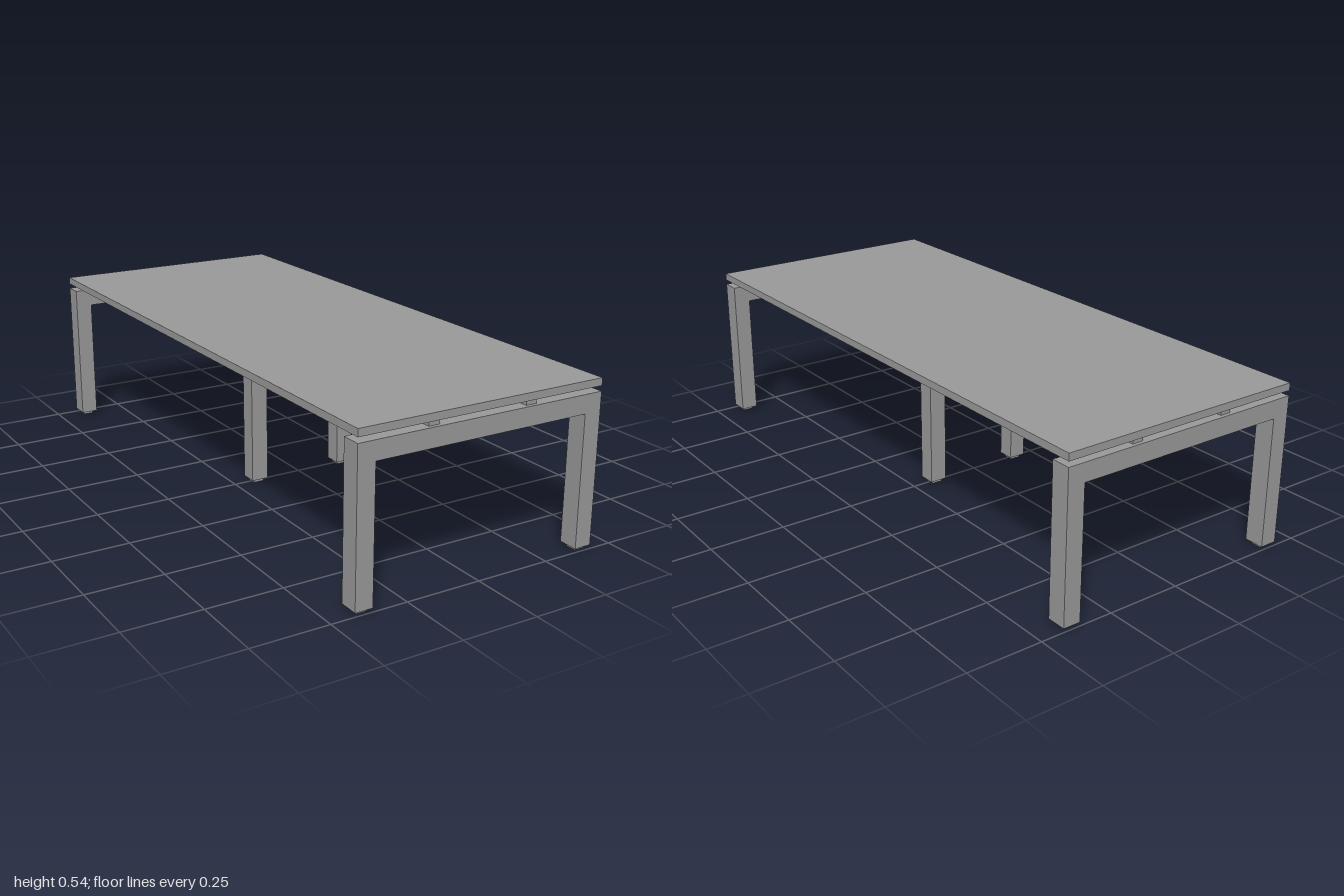
import * as THREE from 'three';

const W = 0.423;      // half width of the table
const L = 1;          // half length
const T = 0.058;      // square tube thickness
const D = 0.065;      // depth of the end frames
const FOOT = 0.012;   // foot height
const BEAM = 0.439;   // underside of the beams
const FRAME = 0.499;  // top of the frame
const PAD = 0.036;    // feet and spacer size

export function createModel() {
  const table = new THREE.Group();
  table.name = 'table';
  const material = new THREE.MeshStandardMaterial({ color: 0x999999, flatShading: true });

  function add(name, geometry, x, y, z) {
    const mesh = new THREE.Mesh(geometry, material);
    mesh.name = name;
    mesh.position.set(x, y, z);
    table.add(mesh);
  }
  // box standing on y0 and reaching y1
  function box(name, w, y0, y1, d, x, z) {
    add(name, new THREE.BoxGeometry(w, y1 - y0, d), x, (y0 + y1) / 2, z);
  }

  box('tabletop', W * 2, 0.516, 0.54, L * 2, 0, 0);

  // portal frame: two legs and a cross beam in one piece
  const portal = new THREE.Shape([
    [-W, FOOT], [-W + T, FOOT], [-W + T, BEAM], [W - T, BEAM],
    [W - T, FOOT], [W, FOOT], [W, FRAME], [-W, FRAME],
  ].map(([x, y]) => new THREE.Vector2(x, y)));
  const portalGeometry = new THREE.ExtrudeGeometry(portal, { depth: D, bevelEnabled: false });
  portalGeometry.translate(0, 0, -D / 2);

  const endZ = L - D / 2;
  const railX = 0.169;
  for (const end of [1, -1]) {
    const endName = end > 0 ? 'front' : 'back';
    add(endName + 'EndFrame', portalGeometry, 0, 0, end * endZ);
    for (const side of [1, -1]) {
      const name = endName + (side > 0 ? 'Left' : 'Right');
      box(name + 'Foot', 0.033, 0, FOOT, PAD, side * (W - T / 2), end * endZ);
      box(name + 'Spacer', PAD, FRAME, 0.516, 0.04, side * railX, end * endZ);
    }
  }

  // long rails with a middle leg under each
  for (const side of [1, -1]) {
    const name = side > 0 ? 'left' : 'right';
    box(name + 'Rail', T, BEAM, FRAME, 2 * (L - D), side * railX, 0);
    box(name + 'MiddleLeg', T, FOOT, BEAM, T, side * railX, 0);
    box(name + 'MiddleFoot', PAD, 0, FOOT, PAD, side * railX, 0);
  }
  return table;
}
